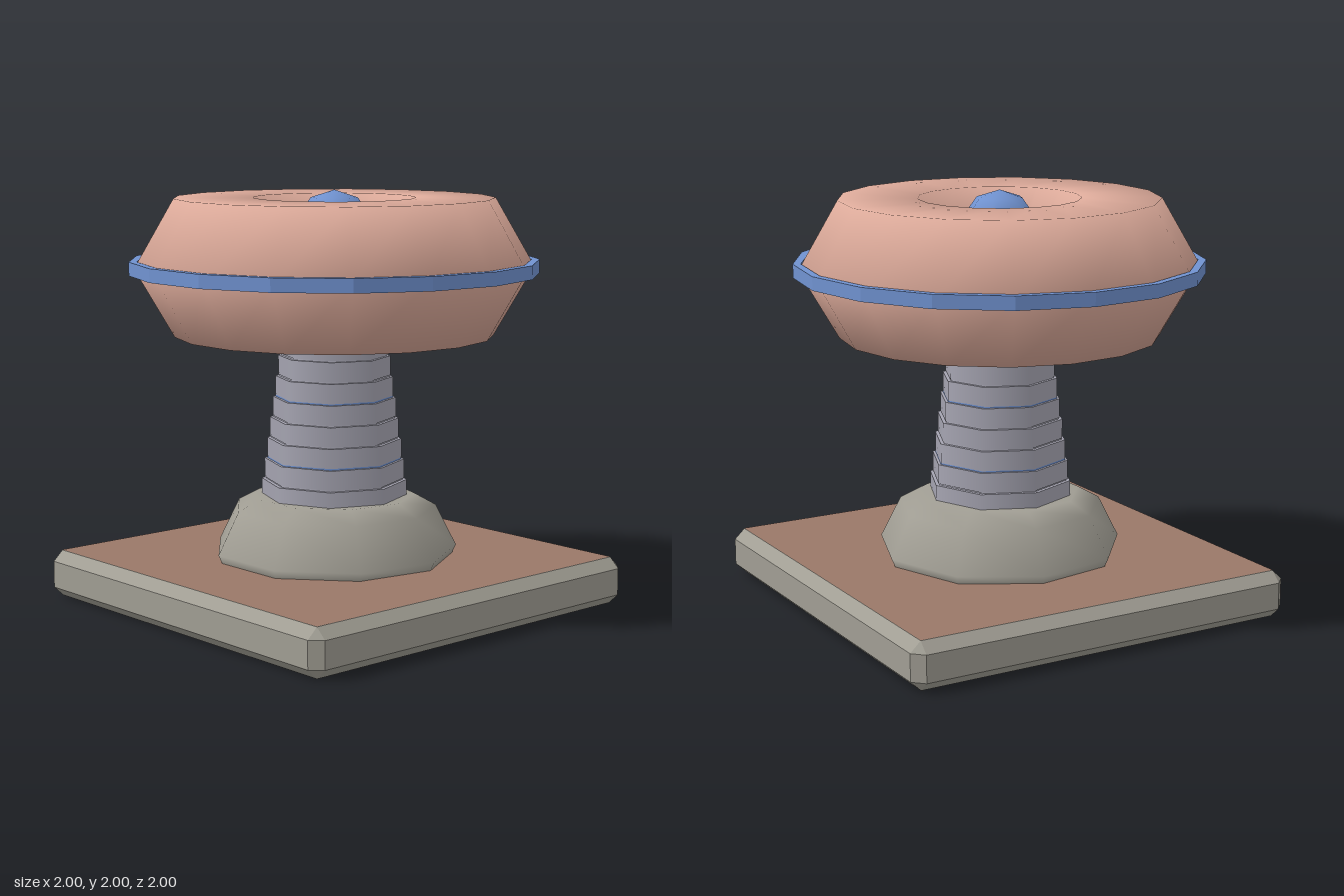
import * as THREE from 'three';
import { ConvexGeometry } from 'three/addons/geometries/ConvexGeometry.js';

const mat = (name, color) => {
  const m = new THREE.MeshStandardMaterial({ color });
  m.name = name;
  return m;
};

export function createModel() {
  const stone = mat('stone grey', 0xa19e94);
  const brown = mat('panel brown', 0x9a7868);
  const metal = mat('column grey', 0xa6a5b2);
  const pink = mat('salmon', 0xdba999);
  const blue = mat('blue', 0x7092d0);
  const pale = mat('hub pale grey', 0xcbc2be);

  const model = new THREE.Group();
  const add = (name, geometry, material, y = 0) => {
    const mesh = new THREE.Mesh(geometry, material);
    mesh.name = name;
    mesh.position.y = y;
    model.add(mesh);
    return mesh;
  };
  // lathe with its first corner on +x
  const lathe = (points, sides) => new THREE.LatheGeometry(
    points.map(([r, y]) => new THREE.Vector2(r, y)), sides, Math.PI / 2);

  // square base with chamfered edges and corners
  const corners = [];
  for (const sx of [-1, 1]) for (const sz of [-1, 1]) {
    for (const y of [0.05, 0.18]) {
      corners.push(new THREE.Vector3(sx, y, sz * 0.948), new THREE.Vector3(sx * 0.948, y, sz));
    }
    for (const y of [0.001, 0.229]) corners.push(new THREE.Vector3(sx * 0.948, y, sz * 0.948));
  }
  add('base', new ConvexGeometry(corners), stone);
  const panel = new THREE.PlaneGeometry(1.896, 1.896);
  add('baseTopPanel', panel, brown, 0.2305).rotation.x = -Math.PI / 2;
  add('baseBottomPanel', panel, brown, 0).rotation.x = Math.PI / 2;

  // nine-sided foot
  add('foot', lathe([[0.575, 0.225], [0.595, 0.27], [0.495, 0.47], [0.39, 0.528], [0, 0.528]], 9), stone);

  // tapering column of stacked rings around a core
  add('columnCore', new THREE.CylinderGeometry(0.215, 0.345, 1.0, 8), metal, 1.01);
  for (let i = 0; i < 10; i++) {
    const r = 0.352 - i * 0.0136;
    add('columnRing', new THREE.CylinderGeometry(r, r, 0.094, 8), metal, 0.555 + i * 0.1007);
  }
  // thin blue spacers between some rings
  for (const i of [2, 5]) {
    const r = 0.352 - i * 0.0136;
    add('columnSpacer', new THREE.CylinderGeometry(r, r, 0.009, 8), blue, 0.5045 + i * 0.1007);
  }

  // hub in the hole of the ring, with a domed knob
  add('hub', new THREE.CylinderGeometry(0.31, 0.31, 0.32, 16), pale, 1.64);
  add('knob', new THREE.SphereGeometry(0.19, 8, 5), blue, 1.81);

  // large ring with a six-sided section
  const torus = new THREE.TorusGeometry(0.578, 0.378, 6, 17);
  torus.rotateX(Math.PI / 2);
  add('bigRing', torus, pink, 1.637);

  // faceted band around the ring
  const band = lathe([[0.98, 1.605], [0.98, 1.67], [0.942, 1.67], [0.942, 1.605], [0.98, 1.605]], 17).toNonIndexed();
  band.computeVertexNormals();
  add('band', band, blue);

  return model;
}
